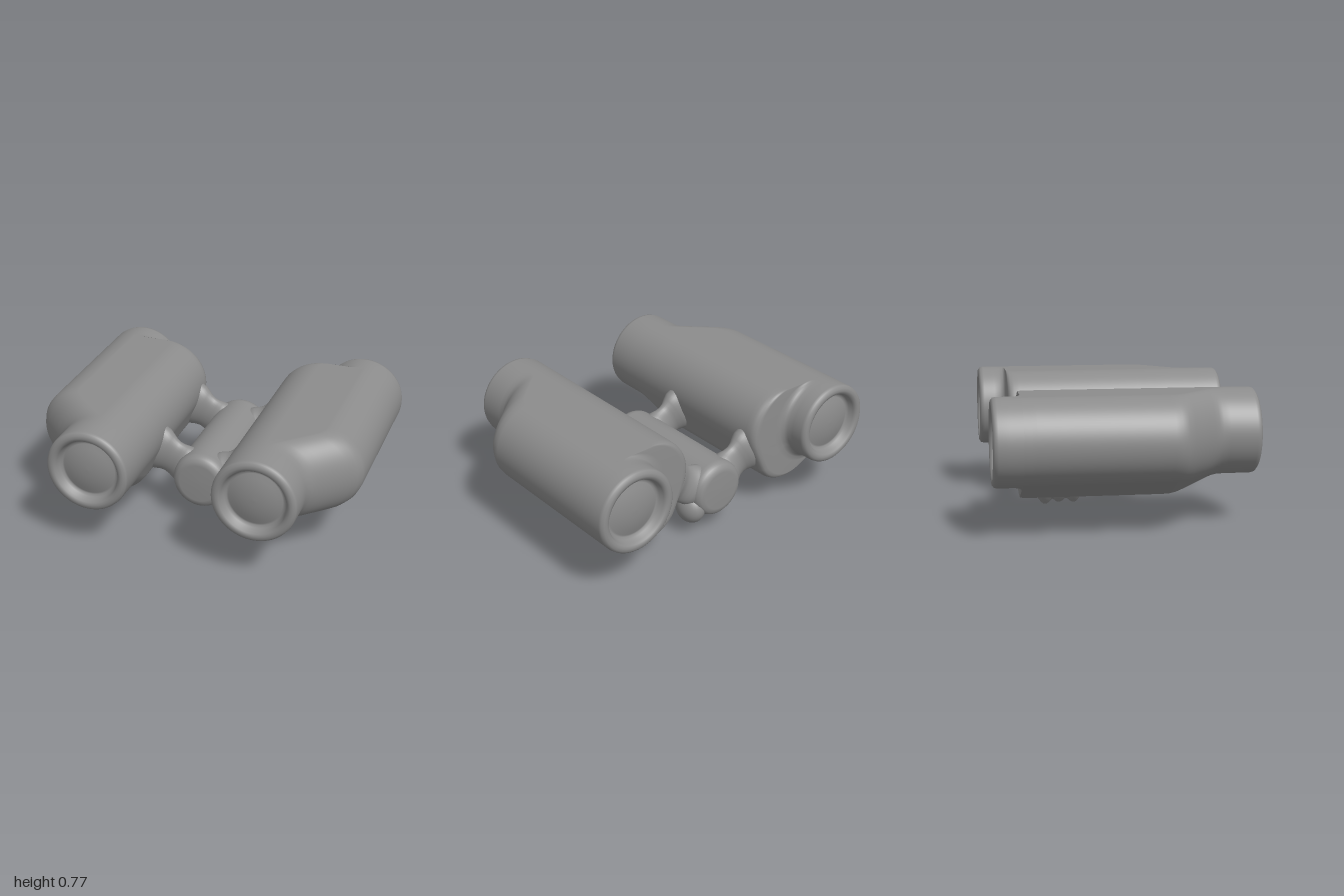
import * as THREE from 'three';

const N = 96;
const lerp = THREE.MathUtils.lerp;
const material = new THREE.MeshStandardMaterial({ color: 0x8c8c8c });

// Skin closed rings of equal point count
function loft(rings) {
  const n = rings[0].length, index = [];
  for (let i = 0; i < rings.length - 1; i++) {
    for (let j = 0; j < n; j++) {
      const k = (j + 1) % n;
      const a = i * n + j, b = i * n + k, c = a + n, d = b + n;
      index.push(a, b, c, b, d, c);
    }
  }
  const geometry = new THREE.BufferGeometry().setFromPoints(rings.flat());
  geometry.setIndex(index);
  geometry.computeVertexNormals();
  return geometry;
}

// Mirror across x = 0, keeping faces outward
function mirrorX(geometry) {
  const m = geometry.clone().scale(-1, 1, 1);
  const ix = m.index.array;
  for (let i = 0; i < ix.length; i += 3) [ix[i], ix[i + 1]] = [ix[i + 1], ix[i]];
  m.computeVertexNormals();
  return m;
}

// Circles whose hull is the prism housing's cross-section
const FRONT = { x: 0.5, y: 0.53, r: 0.25 };
const BACK = { x: 0.75, y: 0.53, r: 0.25 };
const BELLY = { x: 0.515, y: 0.37, r: 0.2 };

// Housing section blended by s toward one round tube of radius r
function section(z, target, s, r = target.r) {
  return Array.from({ length: N }, (_, j) => {
    const t = (j / N) * Math.PI * 2, cx = Math.cos(t), cy = Math.sin(t);
    const reach = (c) => c.x * cx + c.y * cy + c.r;
    const c = [FRONT, BACK, BELLY].reduce((p, q) => (reach(q) > reach(p) ? q : p));
    const rad = lerp(c.r, r, s);
    return new THREE.Vector3(lerp(c.x, target.x, s) + rad * cx, lerp(c.y, target.y, s) + rad * cy, z);
  });
}

// Rounded rim, recess and domed lens: [radius, depth] from outside in
const LENS = [[0.25, 0.03], [0.246, 0.012], [0.232, 0.001], [0.215, 0], [0.2, 0.004], [0.19, 0.018],
  [0.182, 0.045], [0.17, 0.056], [0.158, 0.055], [0.13, 0.044], [0.08, 0.034], [0.04, 0.03], [0, 0.029]];

function barrelGeometry() {
  const end = 0.766;
  const backBlend = [[-0.67, 1], [-0.635, 0.985], [-0.615, 0.94], [-0.604, 0.85], [-0.6, 0.7], [-0.6, 0.2],
    [-0.596, 0.1], [-0.583, 0.035], [-0.56, 0.005], [-0.53, 0]];
  const frontBlend = [[0.22, 0], [0.26, 0.015], [0.3, 0.09], [0.34, 0.24], [0.44, 0.66], [0.48, 0.83],
    [0.51, 0.93], [0.54, 0.985], [0.58, 1]];
  return loft([
    ...LENS.slice().reverse().map(([r, d]) => section(-end + d, BACK, 1, r)),
    ...backBlend.map(([z, s]) => section(z, BACK, s)),
    ...frontBlend.map(([z, s]) => section(z, FRONT, s)),
    ...LENS.map(([r, d]) => section(end - d, FRONT, 1, r)),
  ]);
}

// Waisted elliptical arm from hinge to barrel
function bridgeGeometry(z) {
  const from = new THREE.Vector2(0.05, 0.285), to = new THREE.Vector2(0.36, 0.44);
  const dir = to.clone().sub(from).normalize();
  // [position, half height, half depth]
  const stations = [[0, 0.12, 0.085], [0.28, 0.126, 0.085], [0.36, 0.122, 0.073], [0.43, 0.117, 0.058],
    [0.52, 0.115, 0.053], [0.6, 0.121, 0.058], [0.68, 0.134, 0.073], [0.78, 0.15, 0.085], [1, 0.16, 0.085]];
  return loft(stations.map(([t, h, d]) => {
    const c = from.clone().lerp(to, t);
    return Array.from({ length: 40 }, (_, j) => {
      const a = (j / 40) * Math.PI * 2, v = h * Math.cos(a);
      return new THREE.Vector3(c.x - dir.y * v, c.y + dir.x * v, z + d * Math.sin(a));
    });
  }));
}

// Wedge-shaped keel whose lower edge rises and falls in three ridges
function gripGeometry() {
  const edge = [[-0.57, 0.17], [-0.54, 0.12], [-0.49, 0.085], [-0.455, 0.06], [-0.42, 0.016], [-0.397, 0.005],
    [-0.375, 0.014], [-0.352, 0.035], [-0.332, 0.021], [-0.312, 0.015], [-0.292, 0.022], [-0.268, 0.038],
    [-0.24, 0.018], [-0.22, 0.012], [-0.198, 0.025], [-0.165, 0.075], [-0.13, 0.112], [-0.09, 0.17]];
  const curve = new THREE.SplineCurve(edge.map(([z, y]) => new THREE.Vector2(z, y)));
  return loft(curve.getPoints(68).map(({ x: z, y }) => {
    const at = (dx, f) => new THREE.Vector3(0.045 + dx, lerp(0.2, y, f), z);
    const outline = [at(0.1, 0), at(-0.1, 0), at(-0.075, 0.5), at(-0.028, 0.88), at(0, 1), at(0.03, 0.9), at(0.07, 0.6)];
    return new THREE.CatmullRomCurve3(outline, true).getPoints(42).slice(0, -1);
  }));
}

export function createModel() {
  const group = new THREE.Group();
  const add = (name, geometry) => {
    const mesh = new THREE.Mesh(geometry, material);
    mesh.name = name;
    group.add(mesh);
    return mesh;
  };

  // Barrels
  const barrel = barrelGeometry();
  add('leftBarrel', barrel);
  add('rightBarrel', mirrorX(barrel));

  // Bridges at both ends of the hinge
  for (const [label, z] of [['front', 0.14], ['back', -0.49]]) {
    const bridge = bridgeGeometry(z);
    add(label + 'LeftBridge', bridge);
    add(label + 'RightBridge', mirrorX(bridge));
  }

  // Central hinge with rounded ends
  const half = [[0.174, 0.37], [0.172, 0.392], [0.162, 0.415], [0.145, 0.43], [0.12, 0.436], [0, 0.437]];
  const profile = [...half.map(([r, y]) => new THREE.Vector2(r, -y)).reverse(),
    ...half.map(([r, y]) => new THREE.Vector2(r, y))];
  const hinge = add('hinge', new THREE.LatheGeometry(profile, 64).rotateX(Math.PI / 2));
  hinge.position.set(0, 0.284, -0.163);

  // Ridged grip under the hinge, with a lobe below the back left bridge
  add('grip', gripGeometry());
  const lobe = add('gripLobe', new THREE.SphereGeometry(1, 32, 20));
  lobe.scale.set(0.08, 0.1, 0.1);
  lobe.position.set(0.14, 0.18, -0.49);

  return group;
}
